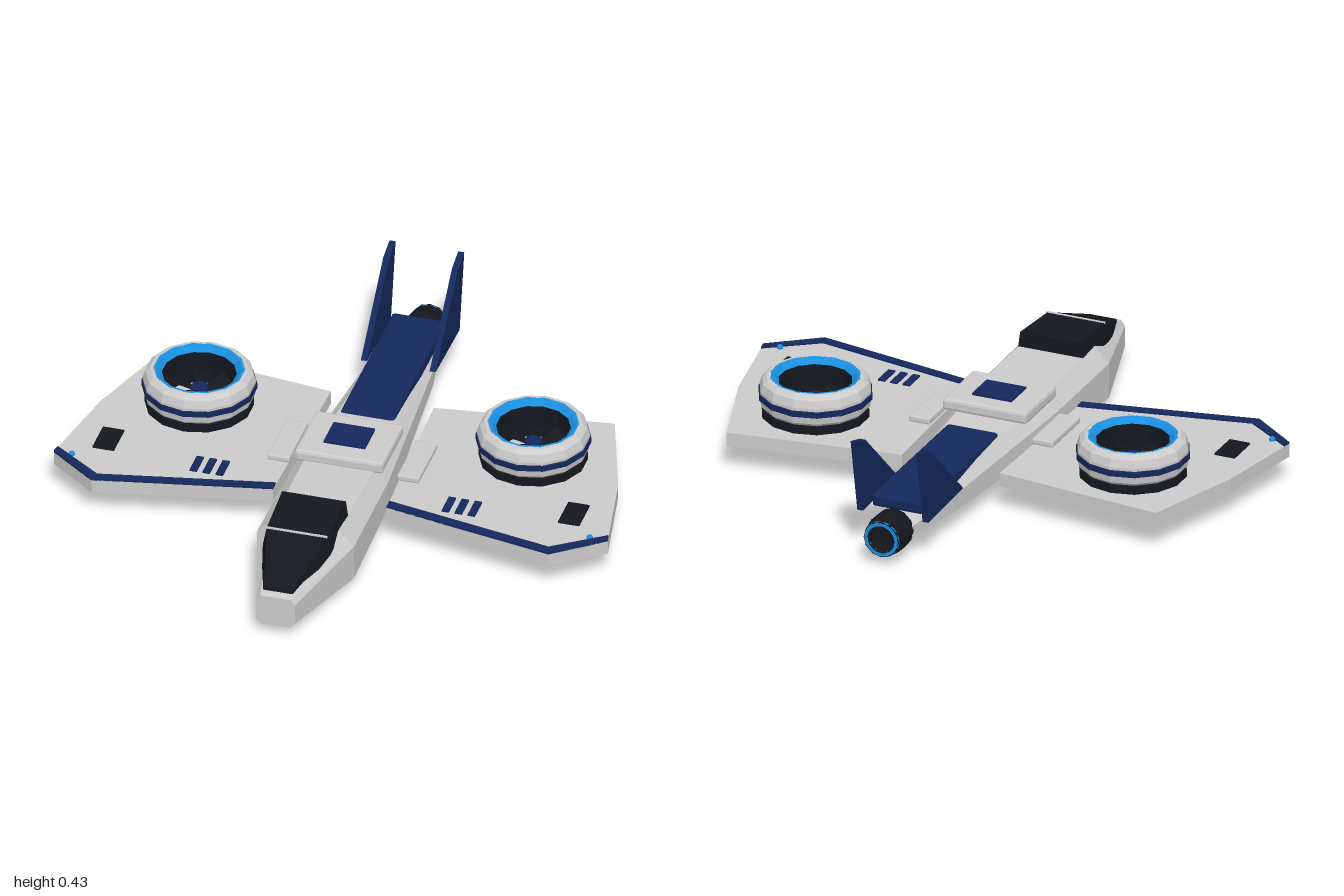
import * as THREE from 'three';
import { RoundedBoxGeometry } from 'three/addons/geometries/RoundedBoxGeometry.js';

const mat = (color) => new THREE.MeshStandardMaterial({ color, flatShading: true, side: THREE.DoubleSide });

export function createModel() {
  const model = new THREE.Group();
  const grey = mat(0xcccccc), navy = mat(0x15285c), dark = mat(0x14181e), blue = mat(0x1a8fe0);

  function add(name, geometry, material, x = 0, y = 0, z = 0, parent = model) {
    const mesh = new THREE.Mesh(geometry, material);
    mesh.name = name;
    mesh.position.set(x, y, z);
    parent.add(mesh);
    return mesh;
  }
  const box = (w, h, d) => new THREE.BoxGeometry(w, h, d);
  const softBox = (w, h, d) => new RoundedBoxGeometry(w, h, d, 1, Math.min(w, h, d) * 0.25);

  // Skin over cross-sections, each a counter-clockwise ring, ordered front to back
  function loft(sections) {
    const v = [], n = sections[0].length;
    const tri = (...p) => p.forEach((q) => v.push(...q));
    for (let s = 0; s < sections.length - 1; s++) {
      const a = sections[s], b = sections[s + 1];
      for (let i = 0; i < n; i++) {
        const j = (i + 1) % n;
        tri(a[i], b[i], a[j]);
        tri(a[j], b[i], b[j]);
      }
    }
    const f = sections[0], r = sections[sections.length - 1];
    for (let i = 1; i < n - 1; i++) {
      tri(f[0], f[i], f[i + 1]);
      tri(r[0], r[i + 1], r[i]);
    }
    const g = new THREE.BufferGeometry();
    g.setAttribute('position', new THREE.Float32BufferAttribute(v, 3));
    g.computeVertexNormals();
    return g;
  }

  // Flat plate from [x, z] outline, lying at height y
  function slab(points, y, height) {
    const shape = new THREE.Shape(points.map(([x, z]) => new THREE.Vector2(x, -z)));
    return new THREE.ExtrudeGeometry(shape, { depth: height, bevelEnabled: false })
      .rotateX(-Math.PI / 2).translate(0, y, 0);
  }

  // Fuselage: z, half widths (bottom, side, top), heights (bottom, lower side, upper side, top)
  const hull = [
    [0.95, 0.05, 0.07, 0.055, 0.04, 0.06, 0.135, 0.155],
    [0.58, 0.13, 0.175, 0.12, 0.003, 0.035, 0.165, 0.222],
    [0.15, 0.125, 0.172, 0.125, 0.03, 0.055, 0.16, 0.212],
    [-0.6, 0.08, 0.115, 0.085, 0.065, 0.08, 0.14, 0.17],
    [-0.845, 0.045, 0.07, 0.05, 0.07, 0.085, 0.12, 0.14],
  ].map(([z, b, m, t, y0, y1, y2, y3]) => [
    [-b, y0, z], [b, y0, z], [m, y1, z], [m, y2, z],
    [t, y3, z], [-t, y3, z], [-m, y2, z], [-m, y1, z],
  ]);
  add('fuselage', loft(hull), grey);

  // Canopy: z, bottom half width, top half width, bottom, top
  const glass = [
    [0.92, 0.06, 0.05, 0.14, 0.17],
    [0.69, 0.122, 0.108, 0.19, 0.262],
    [0.475, 0.125, 0.115, 0.2, 0.276],
  ].map(([z, b, t, y0, y1]) => [[-b, y0, z], [b, y0, z], [t, y1, z], [-t, y1, z]]);
  add('canopy', loft(glass), dark);
  add('canopyFrame', box(0.222, 0.006, 0.008), grey, 0, 0.262, 0.69);

  // Dorsal equipment
  add('dorsalHousing', softBox(0.32, 0.045, 0.265), grey, 0, 0.227, 0.045);
  add('dorsalPanel', box(0.15, 0.01, 0.125), navy, 0, 0.252, 0.042);
  add('dorsalSpine', softBox(0.195, 0.05, 0.645), navy, 0, 0.18, -0.497);

  // Rear engine, open at the back
  const engineProfile = [[0.055, 0], [0.073, 0.02], [0.076, 0.07], [0.066, 0.135], [0.048, 0.135], [0.045, 0.08], [0, 0.08]]
    .map(([r, y]) => new THREE.Vector2(r, y));
  add('rearEngine', new THREE.LatheGeometry(engineProfile, 12).rotateX(-Math.PI / 2), dark, 0, 0.102, -0.82);
  add('rearEngineGlow', new THREE.TorusGeometry(0.057, 0.01, 6, 20), blue, 0, 0.102, -0.948);

  // Lift fan profiles
  const lathe = (pts) => new THREE.LatheGeometry(pts.map(([r, y]) => new THREE.Vector2(r, y)), 14);
  const collar = lathe([[0.19, 0], [0.19, 0.03], [0.13, 0.03], [0.13, 0]]);
  const cowl = lathe([[0.178, 0.028], [0.193, 0.042], [0.197, 0.065], [0.197, 0.1], [0.188, 0.128], [0.172, 0.142], [0.158, 0.143]]);
  const band = lathe([[0.195, 0.066], [0.201, 0.068], [0.201, 0.089], [0.195, 0.091]]);
  const lip = lathe([[0.16, 0.143], [0.148, 0.142], [0.13, 0.125]]);
  const duct = lathe([[0.13, 0.125], [0.13, 0]]);

  function liftFan(x) {
    const fan = new THREE.Group();
    fan.name = 'liftFan';
    fan.position.set(x, 0.145, -0.168);
    model.add(fan);
    add('fanCollar', collar, dark, 0, 0, 0, fan);
    add('fanCowl', cowl, grey, 0, 0, 0, fan);
    add('fanBand', band, navy, 0, 0, 0, fan);
    add('fanLip', lip, blue, 0, 0, 0, fan);
    add('fanDuct', duct, dark, 0, 0, 0, fan);
    add('fanHub', new THREE.CylinderGeometry(0.03, 0.036, 0.05, 12), navy, 0, 0.045, 0, fan);
    for (let i = 0; i < 7; i++) {
      const blade = slab([[0.025, -0.012], [0.128, -0.038], [0.128, 0.038], [0.025, 0.012]], 0, 0.005).rotateX(0.3);
      add('fanBlade', blade, dark, 0, 0.045, 0, fan).rotation.y = (i / 7) * Math.PI * 2;
    }
  }

  const finShape = new THREE.Shape([[-0.56, 0.16], [-0.855, 0.15], [-0.912, 0.435], [-0.835, 0.412]]
    .map(([z, y]) => new THREE.Vector2(z, y)));
  const finGeometry = new THREE.ExtrudeGeometry(finShape, { depth: 0.022, bevelEnabled: false })
    .rotateY(-Math.PI / 2).translate(0.011, 0, 0);

  for (const s of [1, -1]) {
    const flip = (pts) => pts.map(([x, z]) => [x * s, z]);
    // Wing and its leading-edge strip
    add('wing', slab(flip([[0.185, -0.365], [0.815, -0.447], [0.935, -0.08], [1, 0.27], [0.825, 0.405], [0.205, 0.283]]), 0.095, 0.05), grey);
    add('leadingEdge', slab(flip([[0.205, 0.283], [0.825, 0.405], [1, 0.27], [0.994, 0.24], [0.815, 0.368], [0.205, 0.247]]), 0.143, 0.008), navy);
    // Wing details
    add('wingHatch', box(0.077, 0.008, 0.13), dark, s * 0.84, 0.147, 0.143);
    for (let i = 0; i < 3; i++) add('wingVent', box(0.026, 0.008, 0.09), navy, s * (0.408 + i * 0.047), 0.147, 0.208);
    add('navigationLight', new THREE.SphereGeometry(0.012, 8, 6), blue, s * 0.935, 0.148, 0.27);
    add('rootPod', softBox(0.08, 0.024, 0.235), grey, s * 0.234, 0.163, 0.002);
    add('tailFin', finGeometry, navy, s * 0.124);
    liftFan(s * 0.603);
  }

  return model;
}
